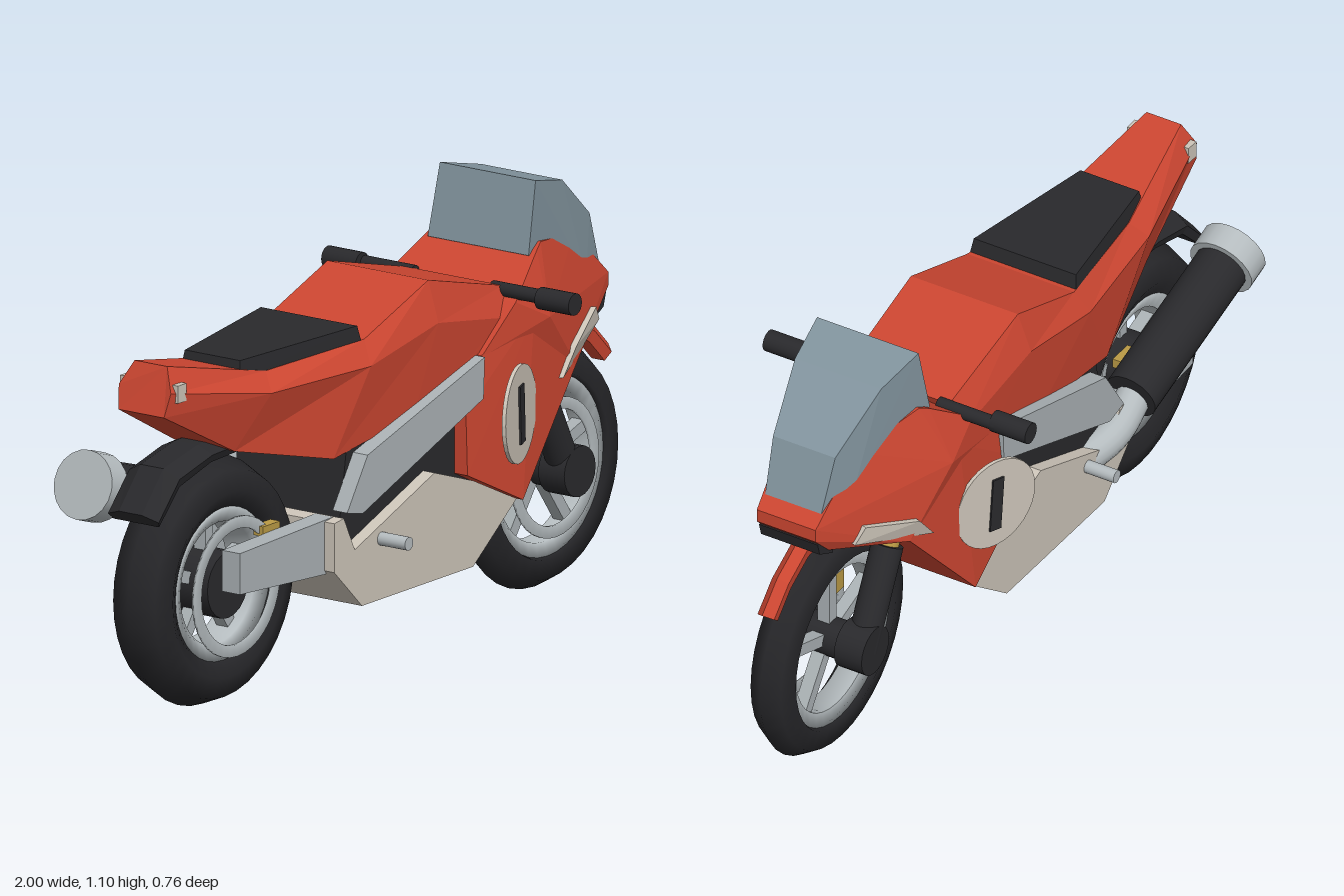
import * as THREE from 'three';
import { ConvexGeometry } from 'three/addons/geometries/ConvexGeometry.js';

const paint = (color, flatShading = true) =>
  new THREE.MeshStandardMaterial({ color, flatShading, side: THREE.DoubleSide });
const RED = paint(0xcc4631), BLACK = paint(0x29292c), CREAM = paint(0xcdc5b9);
const GREY = paint(0xaab1b4), GOLD = paint(0xba9a45), SCREEN = paint(0x82949e);
const RUBBER = paint(0x262629, false), METAL = paint(0xb4bbbe, false);
const DARK = paint(0x29292c, false), FORK_GOLD = paint(0xba9a45, false);

const V = (x, y, z) => new THREE.Vector3(x, y, z);

export function createModel() {
  const model = new THREE.Group();
  model.name = 'motorcycle';

  function add(name, geometry, material, parent = model) {
    const mesh = new THREE.Mesh(geometry, material);
    mesh.name = name;
    parent.add(mesh);
    return mesh;
  }
  function box(name, size, pos, material, parent) {
    const mesh = add(name, new THREE.BoxGeometry(...size), material, parent);
    mesh.position.set(...pos);
    return mesh;
  }
  // Cylinder between two points
  function rod(name, a, b, radius, material, parent, sides = 20) {
    const mesh = add(name, new THREE.CylinderGeometry(radius, radius, a.distanceTo(b), sides), material, parent);
    mesh.position.copy(a).lerp(b, 0.5);
    mesh.quaternion.setFromUnitVectors(V(0, 1, 0), b.clone().sub(a).normalize());
    return mesh;
  }
  // Side outline extruded from z0 to z1
  function slab(name, outline, z0, z1, material) {
    const shape = new THREE.Shape(outline.map(([x, y]) => new THREE.Vector2(x, y)));
    const geometry = new THREE.ExtrudeGeometry(shape, { depth: z1 - z0, bevelEnabled: false });
    return add(name, geometry.translate(0, 0, z0), material);
  }
  // Faceted solid around points mirrored across z
  function hull(name, points, material) {
    const all = points.flatMap(([x, y, z]) => [V(x, y, z), V(x, y, -z)]);
    return add(name, new ConvexGeometry(all), material);
  }
  // Mirrored half cross-sections (top to bottom) joined from back to front
  function loft(name, stations, material) {
    const rings = stations.map(h => [...h, ...h.map(([x, y, z]) => [x, y, -z]).reverse()]);
    const n = rings[0].length, last = (rings.length - 1) * n, index = [];
    for (let i = 0; i < rings.length - 1; i++) {
      for (let j = 0; j < n; j++) {
        const a = i * n + j, b = i * n + (j + 1) % n;
        index.push(a, b, a + n, b, b + n, a + n);
      }
    }
    for (let j = 1; j < n - 1; j++) index.push(0, j + 1, j, last, last + j, last + j + 1);
    const geometry = new THREE.BufferGeometry();
    geometry.setAttribute('position', new THREE.Float32BufferAttribute(rings.flat(2), 3));
    geometry.setIndex(index);
    const flat = geometry.toNonIndexed();
    flat.computeVertexNormals();
    return add(name, flat, material);
  }
  // Ring turned around the wheel axle, from [radius, z] points
  function turned(name, profile, material, parent) {
    const points = profile.map(([r, z]) => new THREE.Vector2(r, z));
    const mesh = add(name, new THREE.LatheGeometry([...points, points[0]], 36), material, parent);
    mesh.rotation.x = Math.PI / 2;
    return mesh;
  }

  // Wheels
  function wheel(name, x, w, rimR, discZ, discR, hubR, hubW) {
    const g = new THREE.Group();
    g.name = name;
    g.position.set(x, 0.318, 0);
    model.add(g);
    const R = 0.315;
    turned('tyre', [[rimR, -0.7 * w], [R - 0.08, -w], [R - 0.027, -0.8 * w], [R, 0],
      [R - 0.027, 0.8 * w], [R - 0.08, w], [rimR, 0.7 * w]], RUBBER, g);
    turned('rim', [[rimR - 0.035, -0.55 * w], [rimR + 0.005, -0.75 * w],
      [rimR + 0.005, 0.75 * w], [rimR - 0.035, 0.55 * w]], METAL, g);
    turned('brakeDisc', [[discR - 0.03, discZ - 0.004], [discR, discZ - 0.004],
      [discR, discZ + 0.004], [discR - 0.03, discZ + 0.004]], METAL, g);
    for (let i = 0; i < 5; i++) {
      const t = Math.PI / 2 + i * Math.PI * 0.4, r = rimR / 2;
      box('spoke', [rimR - 0.02, 0.032, 0.035],
        [Math.cos(t) * r, Math.sin(t) * r, 0], GREY, g).rotation.z = t;
    }
    rod('hub', V(0, 0, -hubW), V(0, 0, hubW), hubR, DARK, g);
  }
  wheel('rearWheel', -0.687, 0.08, 0.19, 0.1, 0.178, 0.085, 0.075);
  wheel('frontWheel', 0.683, 0.055, 0.23, 0.063, 0.178, 0.05, 0.1);

  // Tank and tail in one faceted body
  loft('tankAndTail', [
    [[-0.905, 0.92, 0.05], [-0.93, 0.86, 0.08], [-0.945, 0.8, 0.07]],
    [[-0.57, 0.845, 0.105], [-0.6, 0.8, 0.145], [-0.68, 0.66, 0.09]],
    [[-0.23, 0.86, 0.155], [-0.25, 0.8, 0.19], [-0.37, 0.585, 0.165]],
    [[0.035, 0.953, 0.155], [0.03, 0.85, 0.19], [-0.05, 0.63, 0.175]],
    [[0.35, 0.87, 0.15], [0.32, 0.8, 0.185], [0.22, 0.7, 0.18]],
  ], RED);
  hull('seat', [[-0.66, 0.84, 0.09], [-0.65, 0.885, 0.085], [-0.25, 0.897, 0.148],
    [-0.24, 0.85, 0.155]], BLACK);

  // Fairing, nose and screen
  hull('upperFairing', [[0.2, 0.725, 0.195], [0.33, 0.84, 0.205], [0.47, 0.935, 0.165],
    [0.5, 0.95, 0.155], [0.45, 0.78, 0.222], [0.71, 0.92, 0.1], [0.6, 0.62, 0.19],
    [0.875, 0.78, 0.085], [0.875, 0.745, 0.085], [0.82, 0.69, 0.09]], RED);
  hull('lowerFairing', [[0.2, 0.73, 0.195], [0.13, 0.6, 0.2], [0.13, 0.44, 0.205],
    [0.34, 0.335, 0.22], [0.45, 0.53, 0.205], [0.6, 0.62, 0.19], [0.4, 0.8, 0.21]], RED);
  hull('headlight', [[0.8, 0.73, 0.088], [0.865, 0.73, 0.085], [0.855, 0.695, 0.085],
    [0.8, 0.67, 0.09]], BLACK);
  hull('windscreen', [[0.45, 0.925, 0.155], [0.49, 1.107, 0.147], [0.63, 1.075, 0.125],
    [0.79, 0.95, 0.09], [0.85, 0.785, 0.08], [0.75, 0.8, 0.11]], SCREEN);

  // Engine and belly pan
  slab('engine', [[-0.31, 0.65], [0.15, 0.65], [0.2, 0.4], [-0.1, 0.3], [-0.36, 0.33]], -0.165, 0.165, BLACK);
  slab('bellyPan', [[-0.415, 0.435], [-0.415, 0.31], [-0.3, 0.2], [0.16, 0.2], [0.34, 0.335],
    [0.16, 0.42], [0, 0.475], [-0.33, 0.35], [-0.375, 0.44]], -0.2, 0.2, CREAM);

  // Paired side parts
  for (const s of [1, -1]) {
    const pair = (name, outline, z0, z1, material) =>
      slab(name, outline, Math.min(s * z0, s * z1), Math.max(s * z0, s * z1), material);
    const bar = (name, x, y, z0, z1, r, material) =>
      rod(name, V(x, y, s * z0), V(x, y, s * z1), r, material);

    pair('frameBeam', [[-0.375, 0.455], [-0.29, 0.585], [0.195, 0.73], [0.19, 0.625], [-0.31, 0.44]],
      0.165, 0.21, GREY);
    pair('swingarm', [[-0.765, 0.43], [-0.765, 0.325], [-0.41, 0.3], [-0.38, 0.44]], 0.115, 0.17, GREY);
    box('axleAdjuster', [0.07, 0.025, 0.03], [-0.56, 0.44, s * 0.1], GOLD);
    bar('footPeg', -0.22, 0.355, 0.16, 0.285, 0.017, METAL);
    bar('handlebar', 0.35, 0.86, 0.12, 0.29, 0.018, DARK);
    bar('grip', 0.34, 0.86, 0.275, 0.38, 0.028, DARK);
    rod('forkLower', V(0.683, 0.31, s * 0.1), V(0.56, 0.555, s * 0.1), 0.041, DARK);
    rod('forkUpper', V(0.57, 0.535, s * 0.1), V(0.45, 0.775, s * 0.1), 0.029, FORK_GOLD);
    bar('axleClamp', 0.683, 0.32, 0.06, 0.14, 0.065, DARK);
    box('tailPatch', [0.036, 0.045, 0.03], [-0.895, 0.855, s * 0.074], CREAM);

    // Cream stripe laid on the fairing flank
    const stripe = [[0.52, 0.605, 0.21], [0.58, 0.675, 0.207], [0.74, 0.73, 0.148], [0.77, 0.69, 0.135]];
    add('fairingStripe', new ConvexGeometry(stripe.flatMap(
      ([x, y, z]) => [V(x, y, s * z), V(x - 0.01, y, s * (z - 0.03))])), CREAM);

    // Round side plate, toed in toward the nose
    const plate = new THREE.Group();
    plate.name = 'sidePlate';
    plate.position.set(0.29, 0.57, s * 0.245);
    plate.rotation.y = s > 0 ? 0.33 : Math.PI - 0.33;
    model.add(plate);
    rod('plateDisc', V(0, 0, -0.005), V(0, 0, 0.005), 0.125, CREAM, plate, 32);
    box('plateBar', [0.035, 0.15, 0.006], [0, 0, 0.007], BLACK, plate).rotation.z = s * 0.07;
  }
  box('brakeCaliper', [0.06, 0.1, 0.035], [0.555, 0.4, 0.065], GOLD);

  // Mudguards
  const guard = [120, 95, 69, 53, 38].map(d => {
    const t = d * Math.PI / 180;
    return [[0.388, 0], [0.365, 0.024], [0.335, 0.02]]
      .map(([r, z]) => [0.683 + r * Math.cos(t), 0.32 + r * Math.sin(t), z]);
  });
  loft('frontMudguard', guard, RED);
  loft('rearMudguard', [[-0.99, 0.555, -0.965, 0.525], [-0.9, 0.655, -0.88, 0.61],
    [-0.76, 0.685, -0.75, 0.645], [-0.6, 0.69, -0.6, 0.65]].map(([x, y, u, v]) =>
    [[x, y, 0.035], [(x + u) / 2, (y + v) / 2, 0.078], [u, v, 0.07]]), BLACK);

  // Exhaust on the right side
  const pipe = new THREE.CatmullRomCurve3([V(-0.25, 0.33, -0.15), V(-0.36, 0.37, -0.19), V(-0.48, 0.44, -0.19)]);
  add('exhaustPipe', new THREE.TubeGeometry(pipe, 12, 0.045, 16), METAL);
  rod('muffler', V(-0.44, 0.43, -0.19), V(-0.87, 0.565, -0.19), 0.07, DARK);
  rod('mufflerCap', V(-0.865, 0.563, -0.19), V(-0.93, 0.584, -0.19), 0.088, METAL);

  return model;
}
